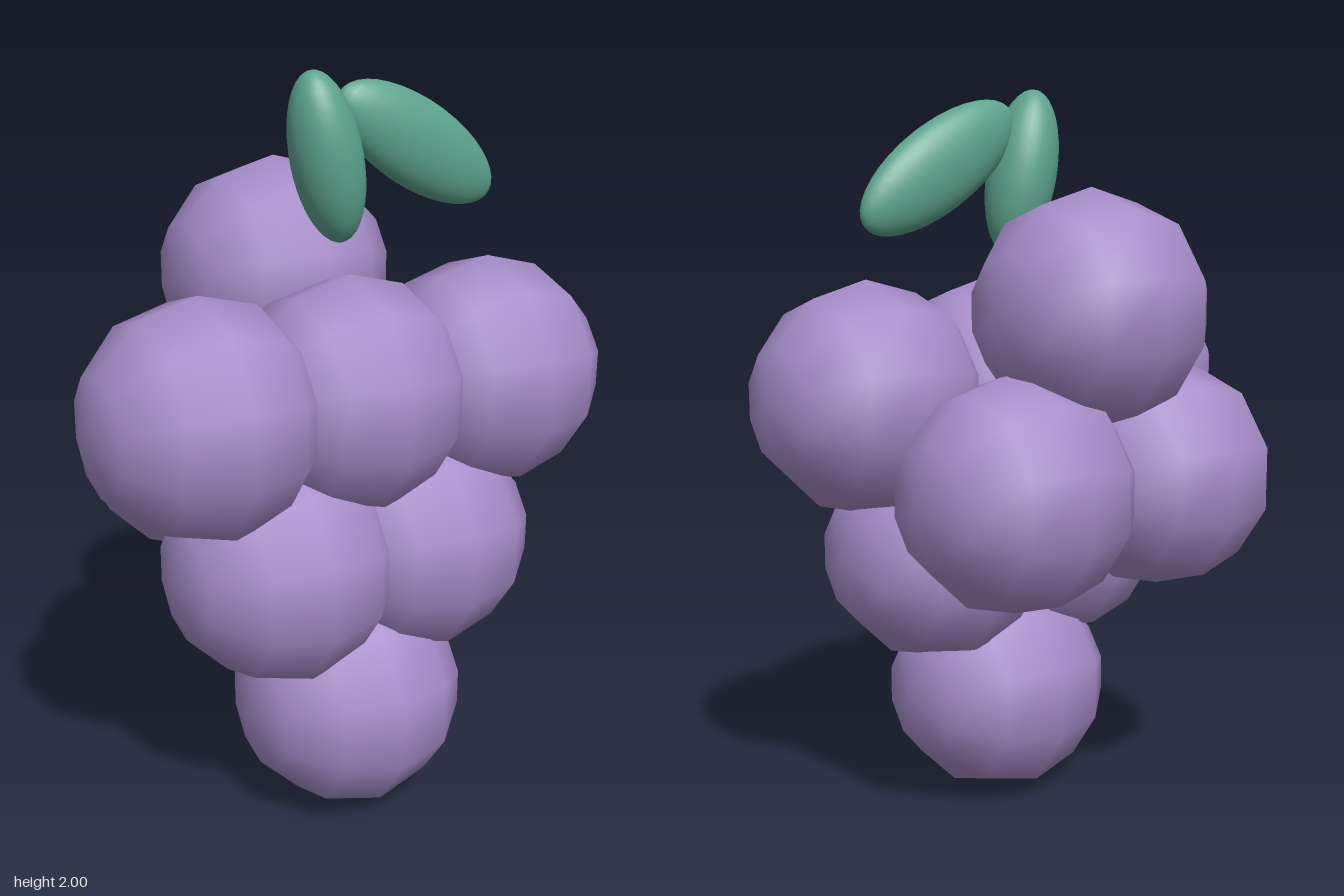
import * as THREE from 'three';

export function createModel() {
  const model = new THREE.Group();
  const purple = new THREE.MeshStandardMaterial({ name: 'grapePurple', color: 0xa58cc8 });
  const green = new THREE.MeshStandardMaterial({ name: 'leafGreen', color: 0x5ca38d });

  // Coarse round grape, poles pointing sideways
  const grapeGeometry = new THREE.SphereGeometry(0.315, 10, 6).rotateZ(Math.PI / 2);
  const addGrape = (name, x, y, z) => {
    const grape = new THREE.Mesh(grapeGeometry, purple);
    grape.name = name;
    grape.position.set(x, y, z);
    model.add(grape);
  };

  // Rows of grapes: [name, x positions, y, z]
  const rows = [
    ['frontTopGrape', [-0.425, 0, 0.425], 1.19, 0.205],
    ['frontMiddleGrape', [-0.21, 0.21], 0.75, 0.205],
    ['frontBottomGrape', [0], 0.32, 0.205],
    ['backTopGrape', [0], 1.43, -0.208],
    ['backMiddleGrape', [-0.245, 0.245], 0.973, -0.208],
  ];
  for (const [name, xs, y, z] of rows) {
    xs.forEach((x, i) => addGrape(xs.length > 1 ? `${name}${i + 1}` : name, x, y, z));
  }

  // Smooth stretched ellipsoids for the stem and the leaf
  const smoothSphere = new THREE.SphereGeometry(1, 32, 20);
  const addEllipsoid = (name, position, radii, tilt) => {
    const mesh = new THREE.Mesh(smoothSphere, green);
    mesh.name = name;
    mesh.position.set(...position);
    mesh.scale.set(...radii);
    mesh.rotation.z = THREE.MathUtils.degToRad(tilt);
    model.add(mesh);
  };
  addEllipsoid('stem', [0, 1.78, 0.083], [0.094, 0.225, 0.097], 12);
  addEllipsoid('leaf', [0.27, 1.795, 0.083], [0.275, 0.114, 0.066], -32);

  return model;
}
